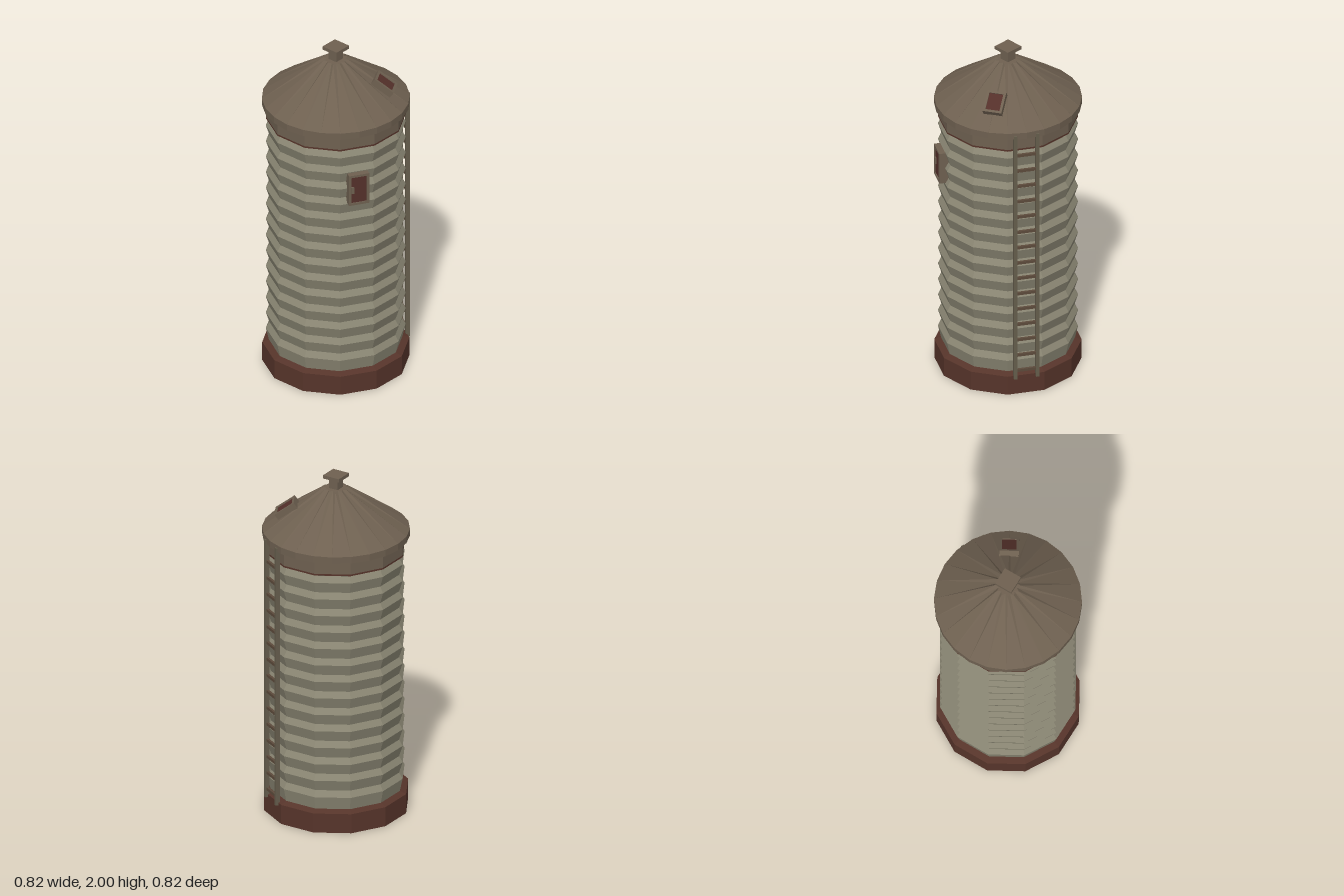
import * as THREE from 'three';

const mat = (name, color) => {
  const m = new THREE.MeshStandardMaterial({ color });
  m.name = name;
  return m;
};

export function createModel() {
  const steel = mat('corrugatedSteel', 0x8a8673);
  const roofTan = mat('roofTan', 0x6e6050);
  const rust = mat('rustBase', 0x56342a);
  const panelRed = mat('panelRed', 0x54302a);
  const ladderGrey = mat('ladderGrey', 0x655d4c);
  const rungBrown = mat('rungBrown', 0x5c4a3b);

  const silo = new THREE.Group();
  silo.name = 'silo';

  const add = (parent, name, geometry, material, x = 0, y = 0, z = 0) => {
    const mesh = new THREE.Mesh(geometry, material);
    mesh.name = name;
    mesh.position.set(x, y, z);
    parent.add(mesh);
    return mesh;
  };
  const box = (parent, name, w, h, d, material, x, y, z) =>
    add(parent, name, new THREE.BoxGeometry(w, h, d), material, x, y, z);

  // Faceted solid of revolution; profile runs from bottom to top
  const faceted = (profile, sides, start, rule) => {
    const lathe = new THREE.LatheGeometry(profile.map(([r, y]) => new THREE.Vector2(r, y)), sides, start);
    if (rule) rule(lathe.attributes.position);
    const flat = lathe.toNonIndexed();
    flat.computeVertexNormals();
    return flat;
  };
  const TWIST = Math.PI / 12;

  // Foundation
  add(silo, 'foundation', faceted([[0, 0], [0.408, 0], [0.408, 0.115], [0.37, 0.13], [0, 0.13]], 12, TWIST), rust);

  // Corrugated wall
  const wall = [[0.37, 0.125]];
  for (let i = 2; i <= 15; i++) wall.push([0.388, i * 0.1 + 0.005], [0.367, i * 0.1 + 0.04]);
  wall.push([0.38, 1.56]);
  add(silo, 'corrugatedWall', faceted(wall, 12, TWIST), steel);

  // Collar under the eaves
  add(silo, 'collarEdge', faceted([[0.3, 1.55], [0.388, 1.55], [0.388, 1.56]], 12, TWIST), rust);
  add(silo, 'collar', faceted([[0.388, 1.56], [0.388, 1.645]], 12, TWIST), roofTan);

  // Pleated roof: alternate radii around the top make the folds
  const pleat = (p) => {
    for (let i = 0; i < p.count; i++) {
      const x = p.getX(i), z = p.getZ(i);
      if (p.getY(i) < 1.9 || Math.hypot(x, z) < 0.01) continue;
      const step = Math.round(Math.atan2(x, z) / TWIST);
      const s = step % 2 === 0 ? 1.08 : 0.8;
      p.setXYZ(i, x * s, p.getY(i), z * s);
    }
  };
  add(silo, 'roof', faceted(
    [[0.37, 1.64], [0.41, 1.638], [0.41, 1.677], [0.065, 1.92], [0, 1.92]], 24, 0, pleat), roofTan);

  // Roof vent
  box(silo, 'ventStem', 0.058, 0.075, 0.058, roofTan, 0, 1.947, 0);
  box(silo, 'ventCap', 0.104, 0.02, 0.104, roofTan, 0, 1.99, 0);

  // Framed hatch facing local +z, with a sunken red panel
  const hatch = (name, w, h, d) => {
    const g = new THREE.Group();
    g.name = name;
    const rim = 0.014, lip = 0.012;
    box(g, 'hatchBody', w, h, d - lip, roofTan, 0, 0, -lip - (d - lip) / 2);
    for (const s of [-1, 1]) {
      box(g, 'hatchSideRim', rim, h, lip, roofTan, s * (w - rim) / 2, 0, -lip / 2);
      box(g, 'hatchEndRim', w - 2 * rim, rim, lip, roofTan, 0, s * (h - rim) / 2, -lip / 2);
    }
    box(g, 'hatchPanel', w - 2 * rim, h - 2 * rim, 0.006, panelRed, 0, 0, -lip + 0.003);
    silo.add(g);
    g.rotation.order = 'YXZ';
    return g;
  };

  // Wall hatch on the front right facet
  const door = hatch('wallHatch', 0.118, 0.19, 0.055);
  door.position.set(-0.5 * 0.408, 1.305, 0.866 * 0.408);
  door.rotation.y = -Math.PI / 6;
  box(door, 'hatchHandle', 0.018, 0.04, 0.012, roofTan, -0.038, 0, -0.004);

  // Roof hatch lying on the slope
  const lid = hatch('roofHatch', 0.108, 0.13, 0.055);
  lid.position.set(0.5 * 0.285, 1.805, 0.866 * 0.285);
  lid.rotation.set(-0.96, Math.PI / 6, 0);

  // Ladder on the front left facet
  const ladder = new THREE.Group();
  ladder.name = 'ladder';
  ladder.rotation.y = Math.PI / 3;
  silo.add(ladder);
  for (const s of [-1, 1]) box(ladder, 'ladderRail', 0.018, 1.56, 0.024, ladderGrey, s * 0.063, 0.88, 0.398);
  for (let i = 0; i < 15; i++) box(ladder, 'ladderRung', 0.115, 0.016, 0.014, rungBrown, 0, 0.15 + i * 0.0985, 0.396);

  return silo;
}
